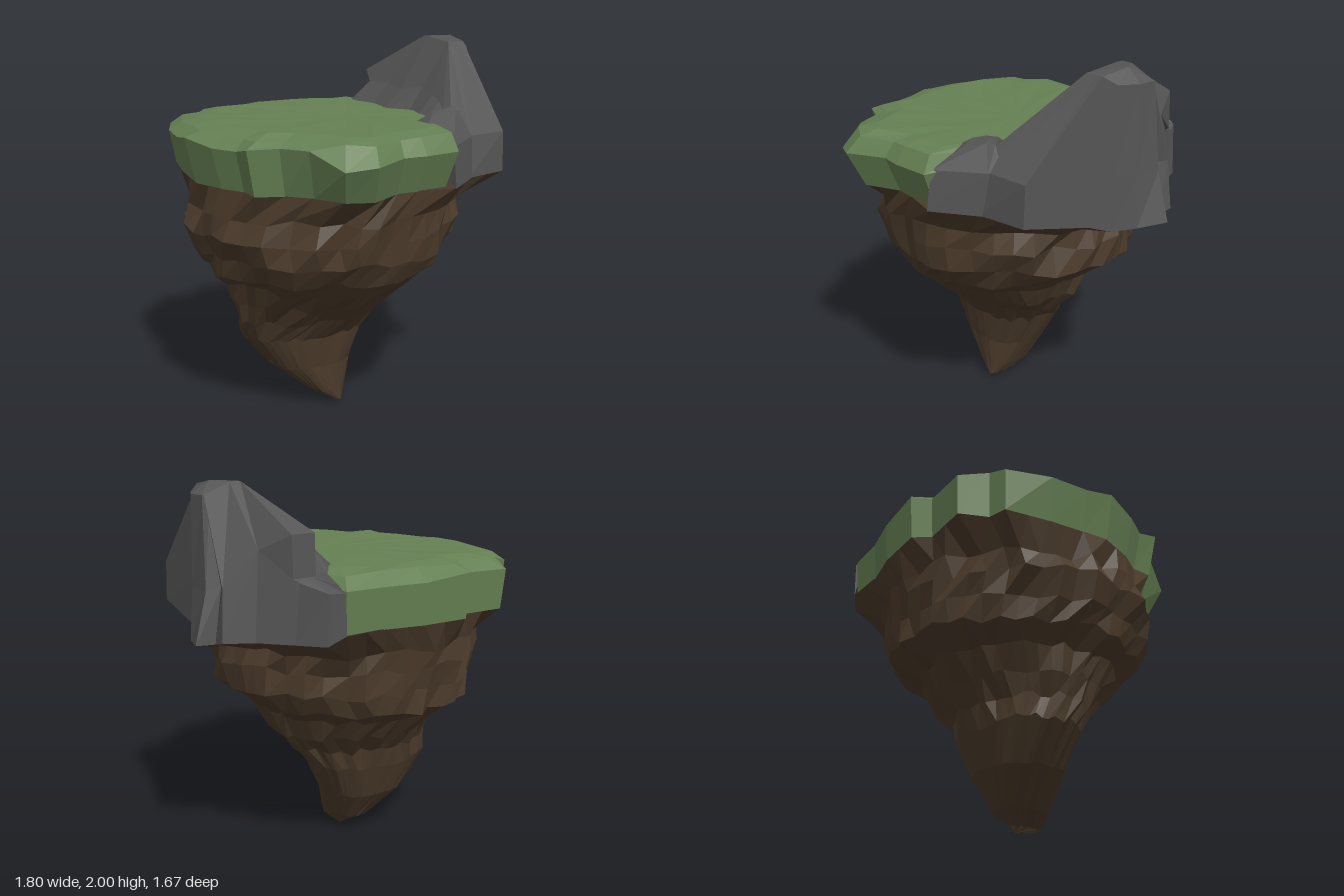
import * as THREE from 'three';

const V = (x, y, z) => new THREE.Vector3(x, y, z);
const { clamp, lerp } = THREE.MathUtils;

function makeRandom(seed) {
  return () => {
    seed = (seed * 16807) % 2147483647;
    return seed / 2147483647;
  };
}

// Skins closed rings, listed bottom to top, with flat facets; optional end points close it.
function loft(name, material, rings, bottom, top) {
  const n = rings[0].length;
  const all = rings.slice();
  if (bottom) all.unshift(Array(n).fill(bottom));
  if (top) all.push(Array(n).fill(top));
  const pos = [];
  const tri = (a, b, c) => {
    if (a.equals(b) || b.equals(c) || a.equals(c)) return;
    for (const p of [a, b, c]) pos.push(p.x, p.y, p.z);
  };
  for (let r = 0; r < all.length - 1; r++) {
    for (let i = 0; i < n; i++) {
      const j = (i + 1) % n;
      const [a, b, c, d] = [all[r][i], all[r + 1][i], all[r][j], all[r + 1][j]];
      tri(a, b, c);
      tri(c, b, d);
    }
  }
  const geo = new THREE.BufferGeometry();
  geo.setAttribute('position', new THREE.Float32BufferAttribute(pos, 3));
  geo.computeVertexNormals();
  const mesh = new THREE.Mesh(geo, material);
  mesh.name = name;
  return mesh;
}

// Foot of the mountain: outer cliff from back to front, then the inner side on the grass
const FOOT = [
  [0.43, 1.33, -0.75], [0.50, 1.28, -0.70], [0.57, 1.27, -0.55], [0.69, 1.27, -0.40],
  [0.82, 1.27, -0.32], [0.81, 1.25, -0.24], [0.90, 1.25, -0.21], [0.84, 1.24, -0.06],
  [0.76, 1.22, 0.03], [0.70, 1.25, 0.13], [0.66, 1.33, 0.50], [0.40, 1.33, 0.55],
  [0.20, 1.33, 0.70], [0.19, 1.57, 0.50], [0.19, 1.57, 0.38], [0.27, 1.58, 0.31],
  [0.29, 1.58, 0.20], [0.34, 1.58, 0.05], [0.28, 1.58, -0.12], [0.32, 1.58, -0.30],
  [0.28, 1.58, -0.50], [0.38, 1.57, -0.60], [0.42, 1.50, -0.74],
];
// Shoulder of the mountain, one point above each foot point
const SHOULDER = [
  [0.44, 1.53, -0.75], [0.48, 1.52, -0.69], [0.55, 1.56, -0.56], [0.66, 1.70, -0.39],
  [0.80, 1.52, -0.30], [0.77, 1.52, -0.24], [0.83, 1.50, -0.20], [0.82, 1.50, -0.06],
  [0.76, 1.50, 0.03], [0.70, 1.50, 0.13], [0.66, 1.54, 0.49], [0.43, 1.54, 0.51],
  [0.38, 1.58, 0.48], [0.37, 1.64, 0.42], [0.37, 1.65, 0.35], [0.40, 1.69, 0.27],
  [0.42, 1.71, 0.18], [0.45, 1.74, 0.05], [0.42, 1.71, -0.12], [0.44, 1.73, -0.28],
  [0.42, 1.72, -0.45], [0.42, 1.61, -0.57], [0.44, 1.56, -0.70],
];
// Grass coastline [x, z] from the front around the left to the back
const COAST = [
  [0.0, 0.74], [-0.12, 0.73], [-0.32, 0.83], [-0.46, 0.77], [-0.55, 0.60], [-0.63, 0.46],
  [-0.77, 0.40], [-0.77, 0.28], [-0.84, 0.15], [-0.90, -0.05], [-0.88, -0.20], [-0.85, -0.40],
  [-0.76, -0.62], [-0.66, -0.64], [-0.59, -0.78], [-0.34, -0.76], [-0.27, -0.84],
  [0.0, -0.82], [0.20, -0.77],
];
// Earth levels: y, left and right x limits, back and front z limits
const LEVELS = [
  [0.03, -0.14, -0.08, -0.08, 0.10], [0.09, -0.25, -0.04, -0.19, 0.10],
  [0.25, -0.44, 0.03, -0.31, 0.10], [0.44, -0.58, 0.13, -0.37, 0.12],
  [0.55, -0.61, 0.22, -0.40, 0.23], [0.66, -0.64, 0.33, -0.48, 0.34],
  [0.78, -0.68, 0.38, -0.58, 0.49], [0.86, -0.77, 0.50, -0.73, 0.58],
  [0.97, -0.82, 0.60, -0.74, 0.64], [1.09, -0.87, 0.61, -0.75, 0.65],
  [1.19, -0.84, 0.61, -0.76, 0.65],
];

// How far the underside of the grass is drawn in: more at the front than at the back
const inset = (z) => (z > 0.5 ? 0.9 : z > -0.5 ? 0.94 : 0.98);

// Adds points to the long edges of a closed outline
function subdivide(points, longest) {
  return points.flatMap((p, i) => {
    const q = points[(i + 1) % points.length];
    const parts = Math.ceil(p.distanceTo(q) / longest);
    return Array.from({ length: parts }, (_, k) => p.clone().lerp(q, k / parts));
  });
}

function earth(material) {
  const rnd = makeRandom(77);
  const outline = subdivide([
    ...FOOT.slice(0, 13).map((p) => V(...p)),
    ...COAST.map(([x, z]) => V(x * inset(z), 1.335, z * inset(z))),
  ], 0.19);
  // Lower levels spread their corners more evenly than the coastline does
  const start = Math.atan2(outline[0].z, outline[0].x);
  const angles = outline.map((p, i) => {
    let a = Math.atan2(p.z, p.x);
    if (a < start - 0.01) a += Math.PI * 2;
    return lerp(a, start + (i / outline.length) * Math.PI * 2, 0.35);
  });
  const rings = LEVELS.map(([y, x0, x1, z0, z1], level) => {
    const rough = level < 4 ? 0.04 : 0.09;
    const lift = level < 3 ? 0.01 : 0.04;
    const square = level < 4 ? 0.8 : 1.06;
    const bend = (t) => Math.sign(t) * Math.abs(t) ** square;
    return angles.map((a) => {
      const k = 1 + (0.45 - rnd()) * rough;
      return V(
        (x0 + x1) / 2 + ((x1 - x0) / 2) * bend(Math.cos(a)) * k,
        y + (rnd() - 0.5) * lift,
        (z0 + z1) / 2 + ((z1 - z0) / 2) * bend(Math.sin(a)) * k,
      );
    });
  });
  return loft('earthUnderside', material, [...rings, outline], V(-0.11, 0, -0.05), V(0, 1.34, 0));
}

function grass(material) {
  const rnd = makeRandom(19);
  // The first part of the loop runs hidden beneath the mountain
  const loop = [
    [0.43, -0.75], [0.47, -0.55], [0.52, -0.2], [0.52, 0.15], [0.42, 0.38], [0.28, 0.54],
    [0.2, 0.72], ...COAST,
  ];
  const under = loop.map(([x, z]) => V(x * inset(z), 1.33, z * inset(z)));
  const rim = loop.map(([x, z]) => V(x, (z > 0.7 ? 1.5 : 1.555) + (rnd() - 0.5) * 0.04, z));
  const ring = (k, y, wave) => loop.map(([x, z]) => {
    const s = k + (rnd() - 0.5) * 0.04;
    return V(x * s, y + (rnd() - 0.5) * wave, z * s);
  });
  const rings = [under, rim, ring(0.92, 1.595, 0.02), ring(0.8, 1.615, 0.012), ring(0.45, 1.615, 0.006)];
  return loft('grassTop', material, rings, null, V(0, 1.612, 0));
}

function mountain(material) {
  const foot = FOOT.map((p) => V(...p));
  const shoulder = SHOULDER.map((p) => V(...p));
  // At the back a low ledge leads in to a steep step
  const atBack = (y, z) => shoulder.map((p) => (p.z < -0.54 ? V(p.x + 0.03, y, z) : p));
  const ledge = atBack(1.58, -0.55);
  const ridge = atBack(1.78, -0.54);
  // Every ridge point runs up to the nearest point of the small summit
  const summit = ridge.map((p) => {
    const x = clamp(p.x, 0.6, 0.81);
    const z = clamp(p.z, -0.16, 0.07);
    return V(x, x > 0.74 ? 1.94 : z < -0.1 ? 1.995 : 1.975, z);
  });
  return loft('mountain', material, [foot, shoulder, ledge, ridge, summit], null, V(0.72, 2.0, -0.08));
}

function boulder(material) {
  const rings = [
    [[0.45, 1.33, 0.45], [0.42, 1.33, 0.55], [0.20, 1.33, 0.71], [0.18, 1.4, 0.5], [0.22, 1.4, 0.38], [0.35, 1.4, 0.34]],
    [[0.45, 1.54, 0.45], [0.43, 1.54, 0.52], [0.20, 1.53, 0.68], [0.16, 1.6, 0.5], [0.18, 1.61, 0.37], [0.33, 1.62, 0.32]],
    [[0.40, 1.66, 0.45], [0.36, 1.66, 0.47], [0.25, 1.62, 0.54], [0.23, 1.65, 0.45], [0.27, 1.66, 0.40], [0.37, 1.68, 0.41]],
  ].map((r) => r.map((p) => V(...p)));
  return loft('boulder', material, rings, null, V(0.32, 1.665, 0.44));
}

export function createModel() {
  const make = (name, color) => {
    const m = new THREE.MeshStandardMaterial({ color, flatShading: true });
    m.name = name;
    return m;
  };
  const earthBrown = make('earthBrown', 0x4a3a2a);
  const grassGreen = make('grassGreen', 0x658053);
  const stoneGray = make('stoneGray', 0x555555);

  const island = new THREE.Group();
  island.name = 'floatingIsland';
  island.add(earth(earthBrown), grass(grassGreen), mountain(stoneGray), boulder(stoneGray));
  return island;
}
